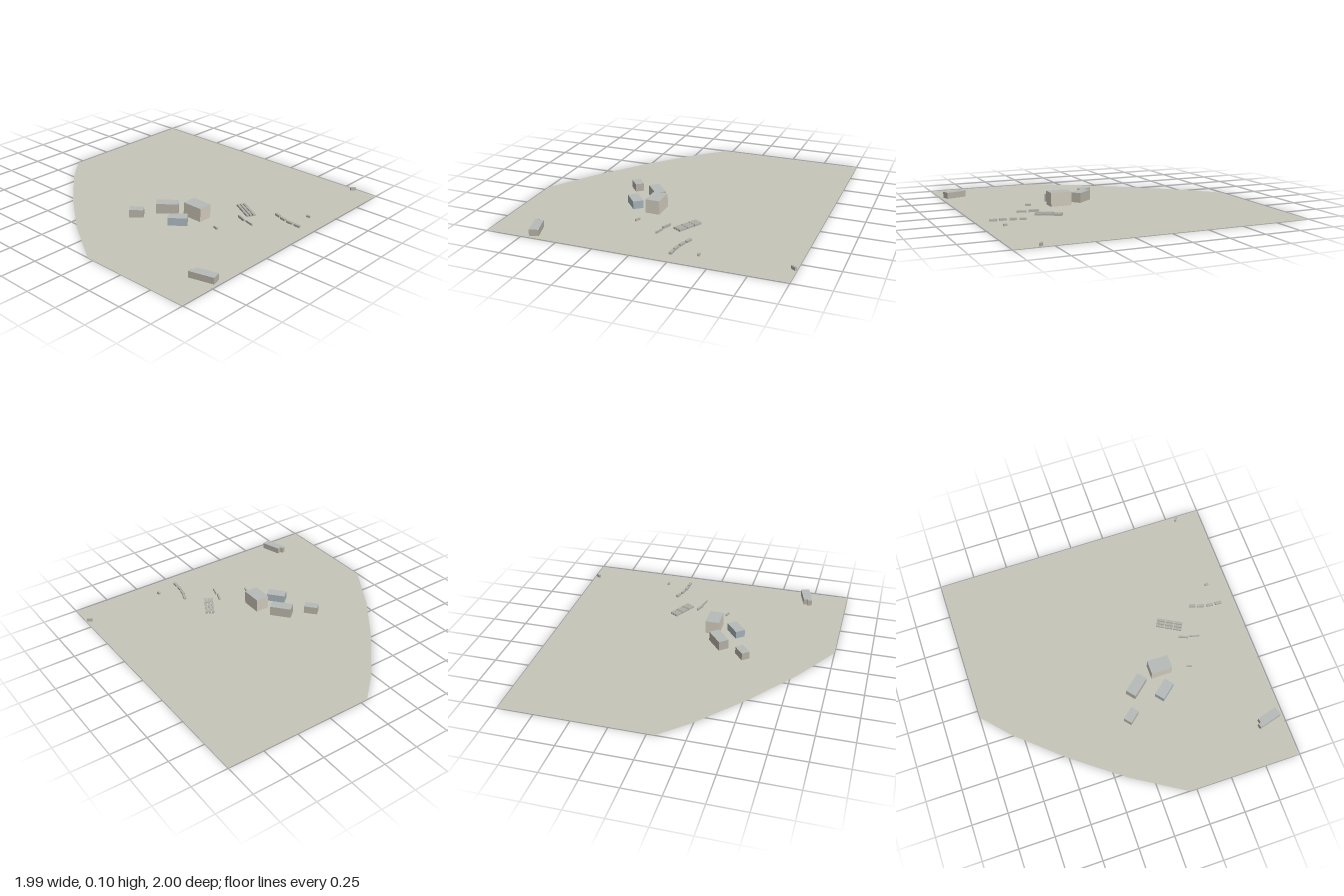
import * as THREE from 'three';

const mat = (color) => new THREE.MeshStandardMaterial({ color, flatShading: true });

export function createModel() {
  const model = new THREE.Group();
  const beige = mat(0xcdc7b8), taupe = mat(0xb5afa2), blue = mat(0xa3b0b5);
  const roof = mat(0xb5bab8), slabGrey = mat(0xb0afa8);

  // Site plate: square with one corner cut by a shallow arc
  const outline = [[-0.997, -1], [0.992, -1], [0.992, 1], [0.2, 1],
    [-0.16, 0.78], [-0.5, 0.525], [-0.82, 0.245], [-0.997, 0.053]];
  const shape = new THREE.Shape(outline.map(([x, z]) => new THREE.Vector2(x, -z)));
  const groundMat = mat(0xc4c4b9);
  groundMat.side = THREE.DoubleSide;
  const ground = new THREE.Mesh(new THREE.ShapeGeometry(shape), groundMat);
  ground.name = 'ground';
  ground.rotation.x = -Math.PI / 2;
  model.add(ground);

  // Block standing on the ground, turned by degrees about y
  function block(name, x, z, length, depth, height, degrees, wall, top = wall) {
    const mesh = new THREE.Mesh(new THREE.BoxGeometry(length, height, depth),
      [wall, wall, top, wall, wall, wall]);
    mesh.name = name;
    mesh.position.set(x, height / 2, z);
    mesh.rotation.y = THREE.MathUtils.degToRad(degrees);
    model.add(mesh);
  }

  // Main buildings
  block('mainHall', 0.298, 0.112, 0.15, 0.1, 0.097, 0, beige, roof);
  block('longHouse', 0.1, 0.191, 0.153, 0.075, 0.07, 40, taupe, roof);
  block('blueHouse', 0.276, 0.278, 0.132, 0.072, 0.055, 40, blue, roof);
  block('smallHouse', -0.004, 0.384, 0.097, 0.06, 0.055, 40, taupe, roof);

  // Outlying building with a notched end
  const notched = new THREE.Shape([[0.815, 0.687], [0.957, 0.645], [0.974, 0.706],
    [0.81, 0.75], [0.803, 0.722], [0.822, 0.715]].map(([x, z]) => new THREE.Vector2(x, -z)));
  const barn = new THREE.Mesh(
    new THREE.ExtrudeGeometry(notched, { depth: 0.044, bevelEnabled: false }), [roof, taupe]);
  barn.name = 'outlyingBuilding';
  barn.rotation.x = -Math.PI / 2;
  model.add(barn);

  // Grid of low slabs: three rows of three
  const angle = THREE.MathUtils.degToRad(29);
  for (let row = -1; row <= 1; row++) {
    for (let col = -1; col <= 1; col++) {
      const u = col * 0.063, v = row * 0.023;
      block('gridSlab', 0.482 + u * Math.cos(angle) - v * Math.sin(angle),
        -0.183 + u * Math.sin(angle) + v * Math.cos(angle), 0.058, 0.017, 0.014, -29, slabGrey);
    }
  }

  // Curved row of low slabs
  [[0.691, -0.269, -18], [0.75, -0.248, -14], [0.814, -0.235, -7], [0.877, -0.231, -5]]
    .forEach(([x, z, a]) => block('rowSlab', x, z, 0.047, 0.019, 0.014, a, slabGrey));

  // Scattered small slabs
  block('narrowSlab', 0.544, -0.06, 0.07, 0.011, 0.018, -21, slabGrey);
  block('narrowSlab', 0.624, -0.043, 0.068, 0.007, 0.014, -15, slabGrey);
  block('lowSlab', 0.508, 0.161, 0.04, 0.012, 0.014, -20, slabGrey);
  block('lowSlab', 0.85, -0.396, 0.026, 0.014, 0.014, 0, slabGrey);
  block('cornerHut', 0.823, -0.978, 0.037, 0.014, 0.021, 54, slabGrey);

  return model;
}
